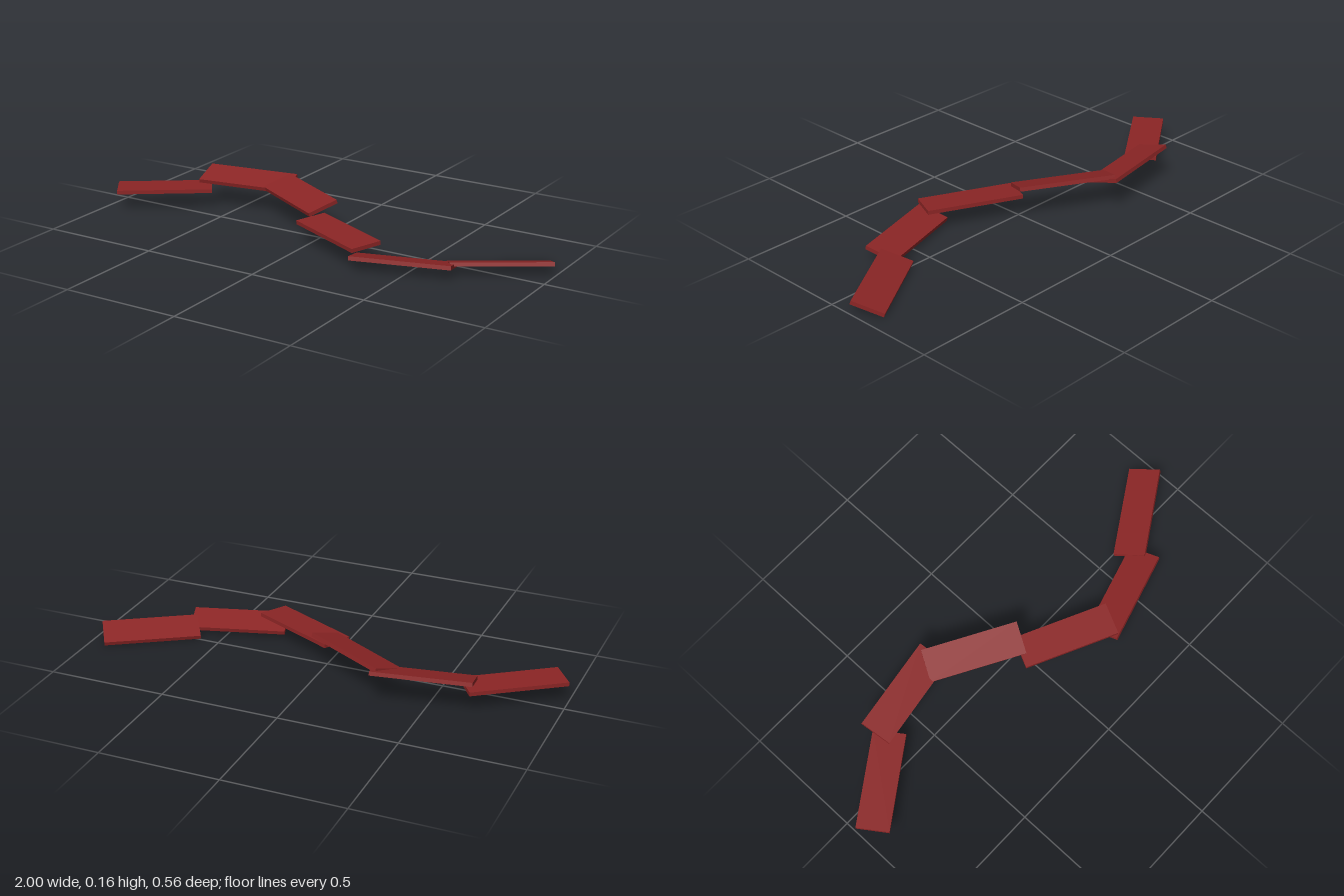
import * as THREE from 'three';

// One plank size, repeated along a winding path
const LENGTH = 0.405, THICKNESS = 0.0165, WIDTH = 0.1355;

// Each plank: centre x, y, z, then yaw and sideways roll in degrees
const PLANKS = [
  [-0.795, 0.081, -0.003, 35, 0],
  [-0.479, 0.127, -0.178, 9.2, 14.5],
  [-0.163, 0.130, -0.096, -29.3, 16.1],
  [0.155, 0.088, 0.121, -25.4, 3.4],
  [0.473, 0.039, 0.157, 16.1, -13.2],
  [0.790, 0.028, -0.048, 32.2, -17.3],
];

export function createModel() {
  const group = new THREE.Group();
  group.name = 'windingPlankPath';

  const darkRed = new THREE.MeshStandardMaterial({ color: 0x8b2525 });
  darkRed.name = 'darkRed';

  const board = new THREE.BoxGeometry(LENGTH, THICKNESS, WIDTH);

  // Roll about the long axis first, then turn along the path
  PLANKS.forEach(([x, y, z, yaw, roll], i) => {
    const plank = new THREE.Mesh(board, darkRed);
    plank.name = `plank${i + 1}`;
    plank.position.set(x, y, z);
    plank.rotation.set(
      THREE.MathUtils.degToRad(roll),
      THREE.MathUtils.degToRad(yaw),
      0,
      'YXZ'
    );
    group.add(plank);
  });

  return group;
}
